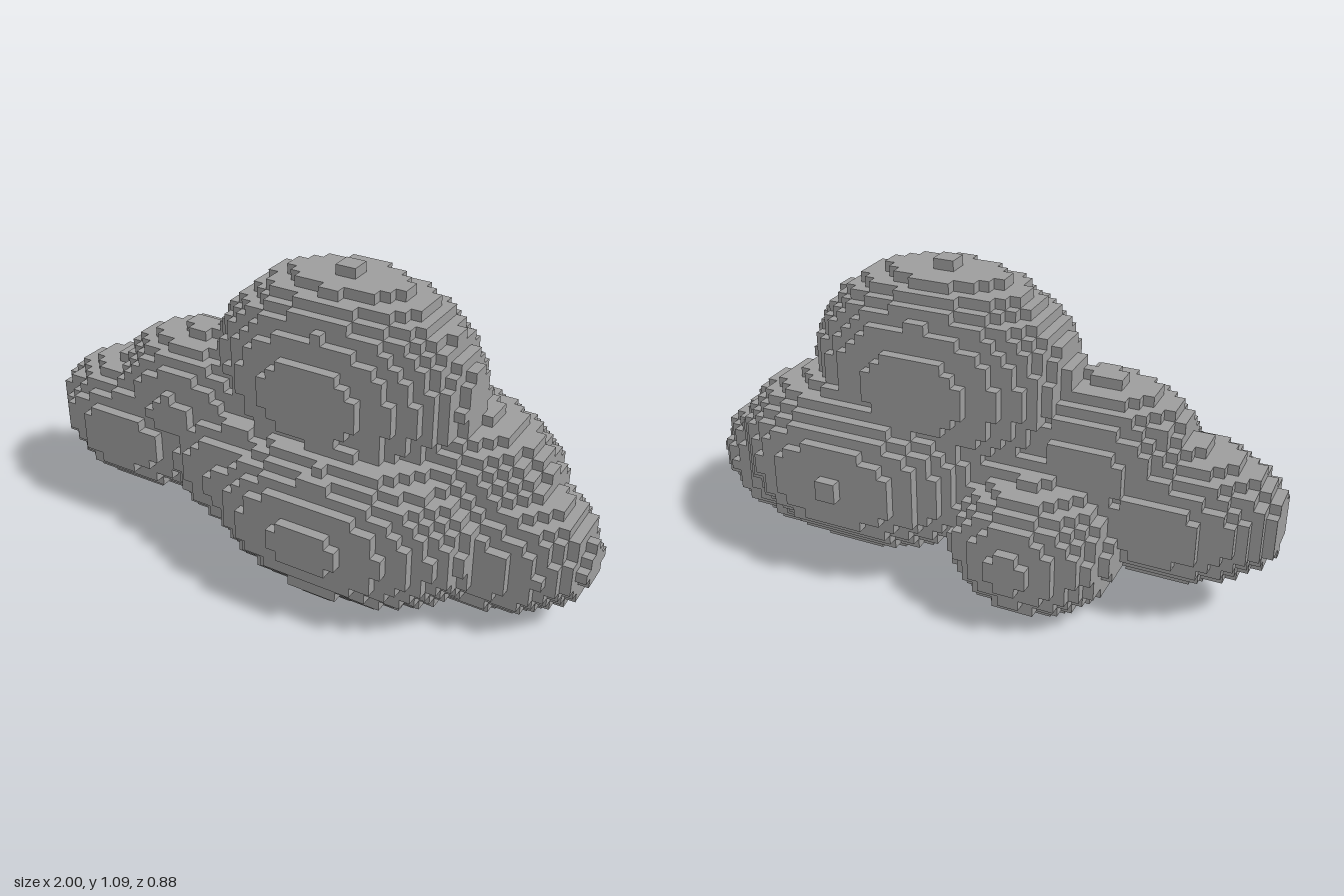
import * as THREE from 'three';

// Voxel cloud: overlapping ellipsoid puffs sampled on a cubic grid
const CELL = 2 / 57;
const NX = 57, NY = 31, NZ = 25;

// Each puff: name, centre, radii
const PUFFS = [
  ['topDome', [0.125, 0.72, -0.018], [0.46, 0.352, 0.285]],
  ['frontPuff', [0.21, 0.315, 0.13], [0.5, 0.292, 0.3]],
  ['backPuff', [0.37, 0.387, -0.1], [0.48, 0.305, 0.322]],
  ['leftPuff', [0.62, 0.27, -0.035], [0.38, 0.24, 0.24]],
  ['rightPuff', [-0.64, 0.357, 0.035], [0.375, 0.235, 0.235]],
  ['rightUpperPuff', [-0.41, 0.51, 0.03], [0.32, 0.25, 0.225]],
  ['backLowerPuff', [-0.263, 0.25, -0.175], [0.28, 0.2335, 0.255]],
  ['middlePuff', [-0.14, 0.36, 0.04], [0.36, 0.27, 0.285]],
];

const cellCentre = (i, j, k) => [(i - 28) * CELL, (j + 0.5) * CELL, (k - 12) * CELL];

// Index of the puff that owns a cell, or -1 for empty space
function owner(i, j, k) {
  if (i < 0 || j < 0 || k < 0 || i >= NX || j >= NY || k >= NZ) return -1;
  const p = cellCentre(i, j, k);
  let best = -1, bestDist = 1;
  PUFFS.forEach(([, c, r], n) => {
    const d = p.reduce((sum, v, a) => sum + ((v - c[a]) / r[a]) ** 2, 0);
    if (d <= bestDist) { bestDist = d; best = n; }
  });
  return best;
}

// Add one square face of a cell, facing along an axis
function addFace(buf, centre, axis, sign) {
  const u = (axis + 1) % 3, v = (axis + 2) % 3;
  const start = buf.position.length / 3;
  for (const [a, b] of [[-1, -1], [1, -1], [1, 1], [-1, 1]]) {
    const p = [...centre], n = [0, 0, 0];
    p[axis] += sign * CELL / 2;
    p[u] += a * CELL / 2;
    p[v] += b * CELL / 2;
    n[axis] = sign;
    buf.position.push(...p);
    buf.normal.push(...n);
  }
  const order = sign > 0 ? [0, 1, 2, 0, 2, 3] : [0, 2, 1, 0, 3, 2];
  buf.index.push(...order.map((o) => start + o));
}

export function createModel() {
  const group = new THREE.Group();
  group.name = 'cloud';
  const material = new THREE.MeshStandardMaterial({ color: 0x9e9e9e, flatShading: true });
  const buffers = PUFFS.map(() => ({ position: [], normal: [], index: [] }));

  // Keep only cell faces that border empty space
  for (let i = 0; i < NX; i++) {
    for (let j = 0; j < NY; j++) {
      for (let k = 0; k < NZ; k++) {
        const n = owner(i, j, k);
        if (n < 0) continue;
        for (let axis = 0; axis < 3; axis++) {
          for (const sign of [-1, 1]) {
            const next = [i, j, k];
            next[axis] += sign;
            if (owner(...next) < 0) addFace(buffers[n], cellCentre(i, j, k), axis, sign);
          }
        }
      }
    }
  }

  // One mesh per puff
  PUFFS.forEach(([name], n) => {
    const buf = buffers[n];
    const geometry = new THREE.BufferGeometry();
    geometry.setAttribute('position', new THREE.Float32BufferAttribute(buf.position, 3));
    geometry.setAttribute('normal', new THREE.Float32BufferAttribute(buf.normal, 3));
    geometry.setIndex(buf.index);
    const mesh = new THREE.Mesh(geometry, material);
    mesh.name = name;
    group.add(mesh);
  });
  return group;
}
